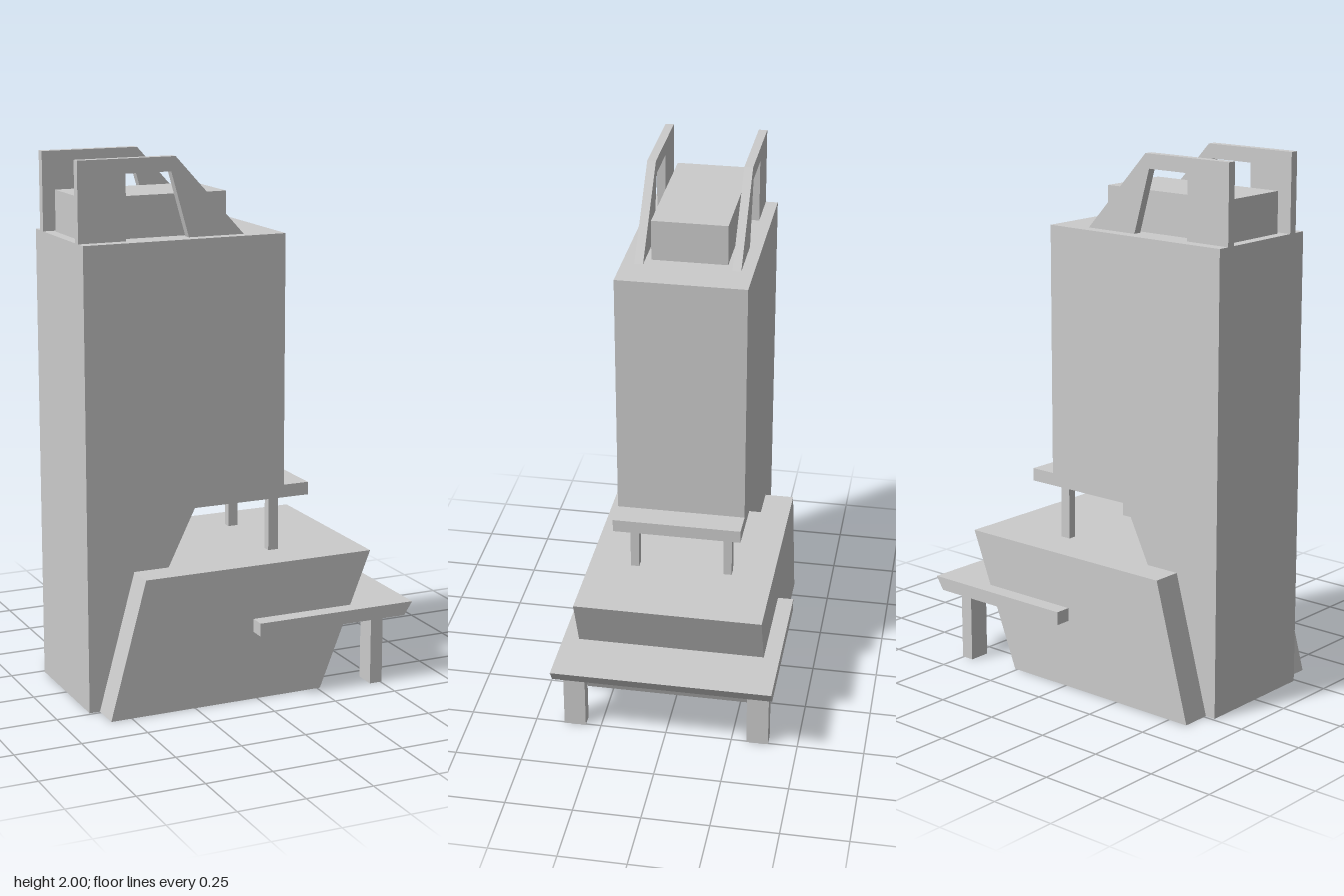
import * as THREE from 'three';

const material = new THREE.MeshStandardMaterial({ color: 0xcccccc, flatShading: true });

// Side profile in x/y, extruded between two z values
function slab(name, points, z0, z1) {
  const shape = new THREE.Shape(points.map(([x, y]) => new THREE.Vector2(x, y)));
  const geometry = new THREE.ExtrudeGeometry(shape, { depth: z1 - z0, bevelEnabled: false });
  geometry.translate(0, 0, z0);
  const mesh = new THREE.Mesh(geometry, material);
  mesh.name = name;
  return mesh;
}

// Box given by its limits on each axis
function block(name, x0, x1, y0, y1, z0, z1) {
  const geometry = new THREE.BoxGeometry(x1 - x0, y1 - y0, z1 - z0);
  geometry.translate((x0 + x1) / 2, (y0 + y1) / 2, (z0 + z1) / 2);
  const mesh = new THREE.Mesh(geometry, material);
  mesh.name = name;
  return mesh;
}

export function createModel() {
  const group = new THREE.Group();
  group.name = 'towerBuilding';

  // Tower with the recessed terrace and projecting ledge
  group.add(slab('tower', [
    [-0.62, 0], [-0.305, 0], [-0.305, 0.513], [-0.2, 0.725], [0.26, 0.725],
    [0.26, 0.773], [0.16, 0.773], [0.16, 1.71], [-0.62, 1.71],
  ], -0.24, 0.24));

  // Slanted base and the canopy wrapped around it
  group.add(slab('base', [[-0.58, 0], [0.262, 0], [0.467, 0.513], [-0.44, 0.513]], -0.352, 0.352));
  group.add(slab('canopy', [[-0.015, 0.26], [0.585, 0.26], [0.618, 0.31], [-0.015, 0.31]], -0.412, 0.412));

  // Rooftop plant room
  group.add(block('roofBlock', -0.58, -0.03, 1.71, 1.862, -0.14, 0.14));

  // Mirrored parts: roof fins, terrace posts and canopy posts
  for (const side of [1, -1]) {
    const span = (a, b) => (side > 0 ? [a, b] : [-b, -a]);
    group.add(slab('roofFin', [
      [-0.62, 1.71], [-0.44, 1.71], [-0.44, 1.947], [-0.267, 1.947], [-0.2, 1.71],
      [0.015, 1.71], [-0.25, 2], [-0.62, 2],
    ], ...span(0.162, 0.194)));
    group.add(block('terracePost', 0.12, 0.16, 0.513, 0.725, ...span(0.162, 0.194)));
    group.add(block('canopyPost', 0.455, 0.505, 0, 0.26, ...span(0.308, 0.39)));
  }
  return group;
}
